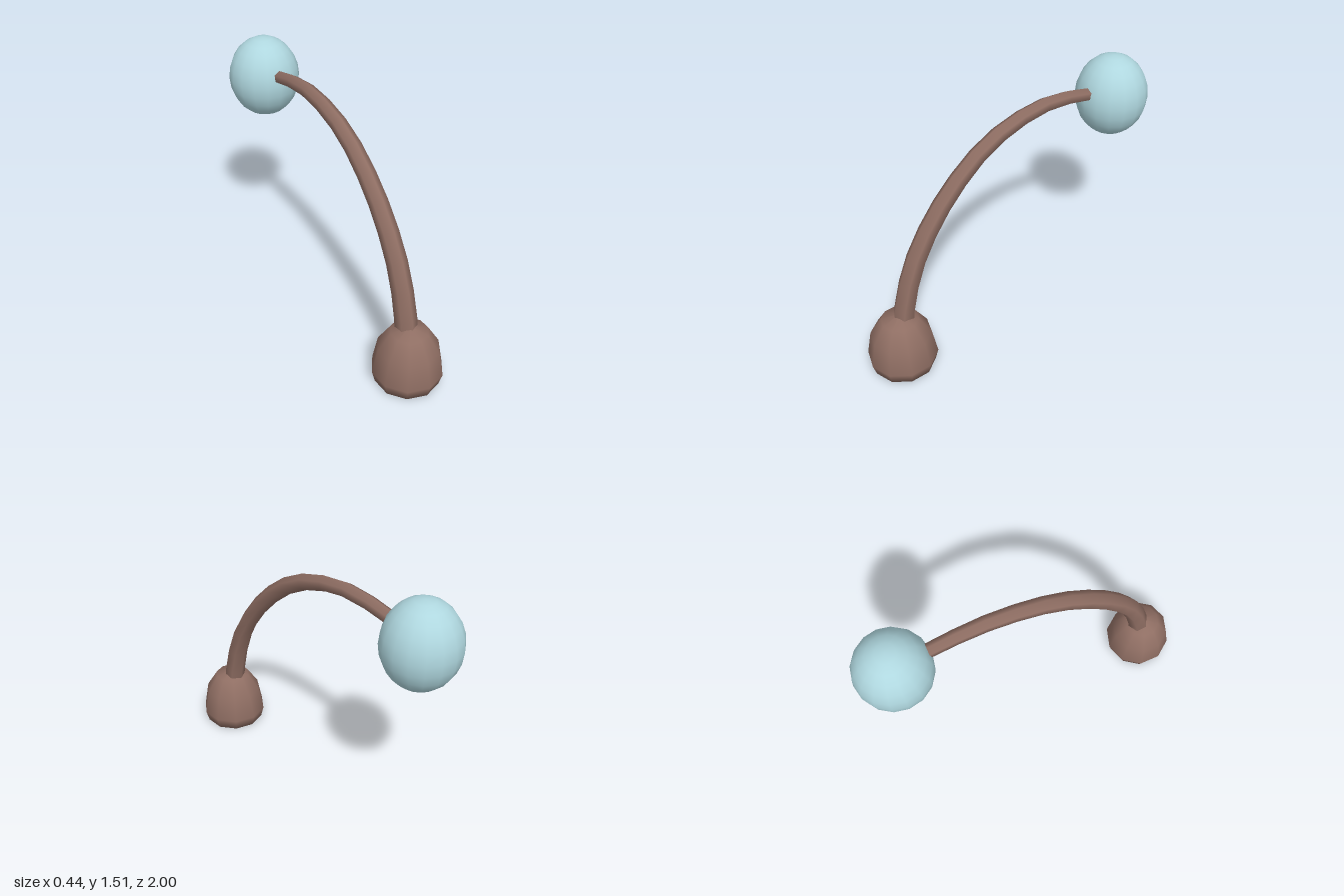
import * as THREE from 'three';
import { mergeVertices } from 'three/addons/utils/BufferGeometryUtils.js';

const stemBrown = new THREE.MeshStandardMaterial({ color: 0x8f6e63 });
stemBrown.name = 'stemBrown';
const bulbBlue = new THREE.MeshStandardMaterial({ color: 0xafd7df });
bulbBlue.name = 'bulbBlue';

const BASE_Z = 0.79;
const RADIAL = 6;

function part(name, geometry, material) {
  const mesh = new THREE.Mesh(geometry, material);
  mesh.name = name;
  return mesh;
}

// Bends a straight six-sided cylinder along a curve, tapering its radius
function bentStem(curve, segments, startRadius, endRadius) {
  let geo = new THREE.CylinderGeometry(1, 1, 1, RADIAL, segments, true);
  geo.deleteAttribute('uv');
  geo.deleteAttribute('normal');
  geo = mergeVertices(geo);
  const pos = geo.attributes.position;
  const side = new THREE.Vector3(1, 0, 0);
  for (let i = 0; i < pos.count; i++) {
    const t = THREE.MathUtils.clamp(pos.getY(i) + 0.5, 0, 1);
    const r = THREE.MathUtils.lerp(startRadius, endRadius, t);
    const across = side.clone().cross(curve.getTangentAt(t));
    const p = curve.getPointAt(t)
      .addScaledVector(side, pos.getX(i) * r)
      .addScaledVector(across, pos.getZ(i) * r);
    pos.setXYZ(i, p.x, p.y, p.z);
  }
  geo.computeVertexNormals();
  return geo;
}

export function createModel() {
  const model = new THREE.Group();
  model.name = 'bulbOnCurvedStem';

  // Ten-sided rounded base with a hollowed underside
  const profile = [
    [0, 0.045], [0.1, 0.035], [0.188, 0], [0.207, 0.07],
    [0.178, 0.225], [0.108, 0.335], [0, 0.37],
  ].map(([r, y]) => new THREE.Vector2(r, y));
  const base = part('base', new THREE.LatheGeometry(profile, 10), stemBrown);
  base.position.z = BASE_Z;
  model.add(base);

  // Tapered stem arching back to the bulb
  const path = new THREE.CatmullRomCurve3([
    [0.79, 0.06], [0.76, 0.35], [0.675, 0.65], [0.56, 0.86], [0.41, 1.045],
    [0.21, 1.215], [0, 1.315], [-0.28, 1.363], [-0.58, 1.32], [-0.75, 1.27],
  ].map(([z, y]) => new THREE.Vector3(0, y, z)));
  model.add(part('stem', bentStem(path, 14, 0.068, 0.038), stemBrown));

  // Stem end showing in the hollow of the base
  const stemEnd = part('stemEnd', new THREE.CircleGeometry(0.06, RADIAL), stemBrown);
  stemEnd.rotation.x = Math.PI / 2;
  stemEnd.position.set(0, 0.033, BASE_Z);
  model.add(stemEnd);

  // Egg-shaped bulb at the tip
  const bulb = part('bulb', new THREE.SphereGeometry(1, 16, 12), bulbBlue);
  bulb.scale.set(0.218, 0.252, 0.218);
  bulb.position.set(0, 1.26, -0.782);
  model.add(bulb);

  return model;
}
